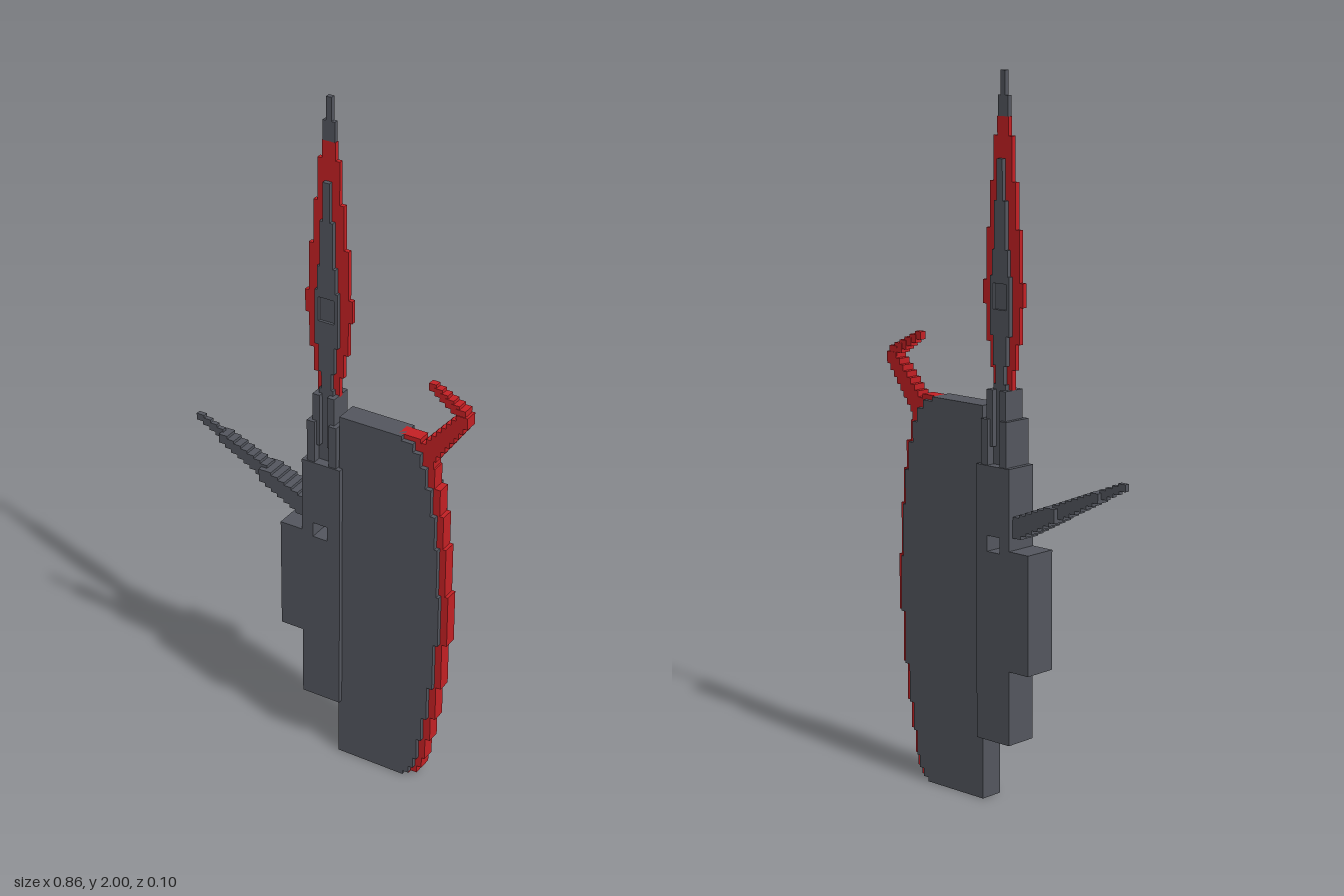
import * as THREE from 'three';

export function createModel() {
  const model = new THREE.Group();
  const grey = new THREE.MeshStandardMaterial({ color: 0x53565e });
  grey.name = 'dark grey';
  const red = new THREE.MeshStandardMaterial({ color: 0xc42024 });
  red.name = 'red';

  function group(name) {
    const g = new THREE.Group();
    g.name = name;
    model.add(g);
    return g;
  }
  function box(parent, name, mat, x0, x1, y0, y1, halfZ) {
    const mesh = new THREE.Mesh(new THREE.BoxGeometry(x1 - x0, y1 - y0, halfZ * 2), mat);
    mesh.position.set((x0 + x1) / 2, (y0 + y1) / 2, 0);
    mesh.name = name;
    parent.add(mesh);
  }
  function slab(parent, name, mat, points, halfZ, hole) {
    const shape = new THREE.Shape(points.map(p => new THREE.Vector2(...p)));
    if (hole) {
      const [x0, x1, y0, y1] = hole;
      shape.holes.push(new THREE.Path([[x0, y0], [x0, y1], [x1, y1], [x1, y0]].map(p => new THREE.Vector2(...p))));
    }
    const geo = new THREE.ExtrudeGeometry(shape, { depth: halfZ * 2, bevelEnabled: false });
    geo.translate(0, 0, -halfZ);
    const mesh = new THREE.Mesh(geo, mat);
    mesh.name = name;
    parent.add(mesh);
  }
  // Symmetric stepped outline from rows of [y0, y1, halfWidth]
  function stepped(rows) {
    const right = rows.flatMap(([y0, y1, w]) => [[w, y0], [w, y1]]);
    return [...right, ...right.map(([x, y]) => [-x, y]).reverse()];
  }
  // Chain of small blocks whose size and depth taper along a line
  function blocks(parent, name, mat, a, b, count, sizeA, sizeB, depth) {
    for (let i = 0; i < count; i++) {
      const t = i / (count - 1), lerp = THREE.MathUtils.lerp;
      const x = lerp(a[0], b[0], t), y = lerp(a[1], b[1], t);
      const h = lerp(sizeA, sizeB, t) / 2;
      const w = Math.max(h, Math.abs(b[0] - a[0]) / (count - 1) * 0.6);
      box(parent, name, mat, x - w, x + w, y - h, y + h, depth(t));
    }
  }

  // Handle with a square through-hole and a rear block
  const handle = group('handle');
  slab(handle, 'handleBody', grey, [[-0.06, 0.18], [0.06, 0.18], [0.06, 0.95], [-0.06, 0.95]], 0.048,
    [-0.025, 0.02, 0.713, 0.757]);
  box(handle, 'rearBlock', grey, -0.13, -0.06, 0.39, 0.725, 0.048);

  // Broad side blade: rows of [y0, y1, grey edge, red edge]
  const rows = [
    [0, 0.012, 0.262, 0.275], [0.012, 0.035, 0.28, 0.3], [0.035, 0.07, 0.295, 0.315],
    [0.07, 0.14, 0.305, 0.325], [0.14, 0.22, 0.318, 0.34], [0.22, 0.33, 0.334, 0.355],
    [0.33, 0.48, 0.35, 0.37], [0.48, 0.64, 0.364, 0.385], [0.64, 0.79, 0.356, 0.375],
    [0.79, 0.89, 0.346, 0.365], [0.89, 0.97, 0.332, 0.353], [0.97, 1.03, 0.315, 0.335],
    [1.03, 1.07, 0.298, 0.33], [1.07, 1.095, 0.275, 0.31], [1.095, 1.108, 0.24, 0.29]
  ];
  const sideBlade = group('sideBlade');
  slab(sideBlade, 'sidePanel', grey,
    [[0.05, 0], ...rows.flatMap(([y0, y1, g]) => [[g, y0], [g, y1]]), [0.05, 1.108]], 0.034);
  for (const [y0, y1, g, r] of rows) box(sideBlade, 'cuttingEdge', red, g - 0.015, r, y0, y1, 0.02);

  // Hook rising from the top of the cutting edge
  const hook = group('hook');
  blocks(hook, 'hookStem', red, [0.315, 1.075], [0.41, 1.195], 8, 0.045, 0.034, () => 0.02);
  blocks(hook, 'hookTip', red, [0.405, 1.215], [0.317, 1.266], 6, 0.028, 0.022, t => 0.018 - 0.008 * t);

  // Tapering spike on the opposite side
  const spike = group('spike');
  blocks(spike, 'spikeBlock', grey, [-0.065, 0.785], [-0.418, 0.948], 18, 0.05, 0.02,
    t => (t < 0.38 ? 0.034 : t < 0.82 ? 0.02 : 0.007));

  // Stepped collar and prongs that hold the upper blade
  const collar = group('collar');
  box(collar, 'collarCore', grey, -0.022, 0.022, 0.94, 1.17, 0.02);
  for (const s of [-1, 1]) {
    const prong = (a, b, y0, y1, z) =>
      box(collar, 'prong', grey, Math.min(s * a, s * b), Math.max(s * a, s * b), y0, y1, z);
    prong(0.022, 0.046, 0.94, 1.075, 0.044);
    prong(0.012, 0.034, 1.0, 1.155, 0.034);
  }

  // Upper blade: thin red edge, thicker grey core with a recess, grey point
  const upper = group('upperBlade');
  slab(upper, 'bladeEdge', red, stepped([
    [1.15, 1.21, 0.034], [1.21, 1.28, 0.046], [1.28, 1.38, 0.06], [1.38, 1.445, 0.072],
    [1.445, 1.585, 0.06], [1.585, 1.71, 0.046], [1.71, 1.83, 0.033], [1.83, 1.88, 0.02]
  ]), 0.007);
  slab(upper, 'bladeCore', grey, stepped([
    [1.15, 1.22, 0.015], [1.22, 1.3, 0.024], [1.3, 1.46, 0.035],
    [1.46, 1.53, 0.028], [1.53, 1.66, 0.02], [1.66, 1.77, 0.01]
  ]), 0.02, [-0.024, 0.024, 1.37, 1.44]);
  box(upper, 'coreRecess', grey, -0.024, 0.024, 1.37, 1.44, 0.012);
  slab(upper, 'bladePoint', grey, stepped([[1.88, 1.935, 0.018], [1.935, 2, 0.008]]), 0.007);

  return model;
}
